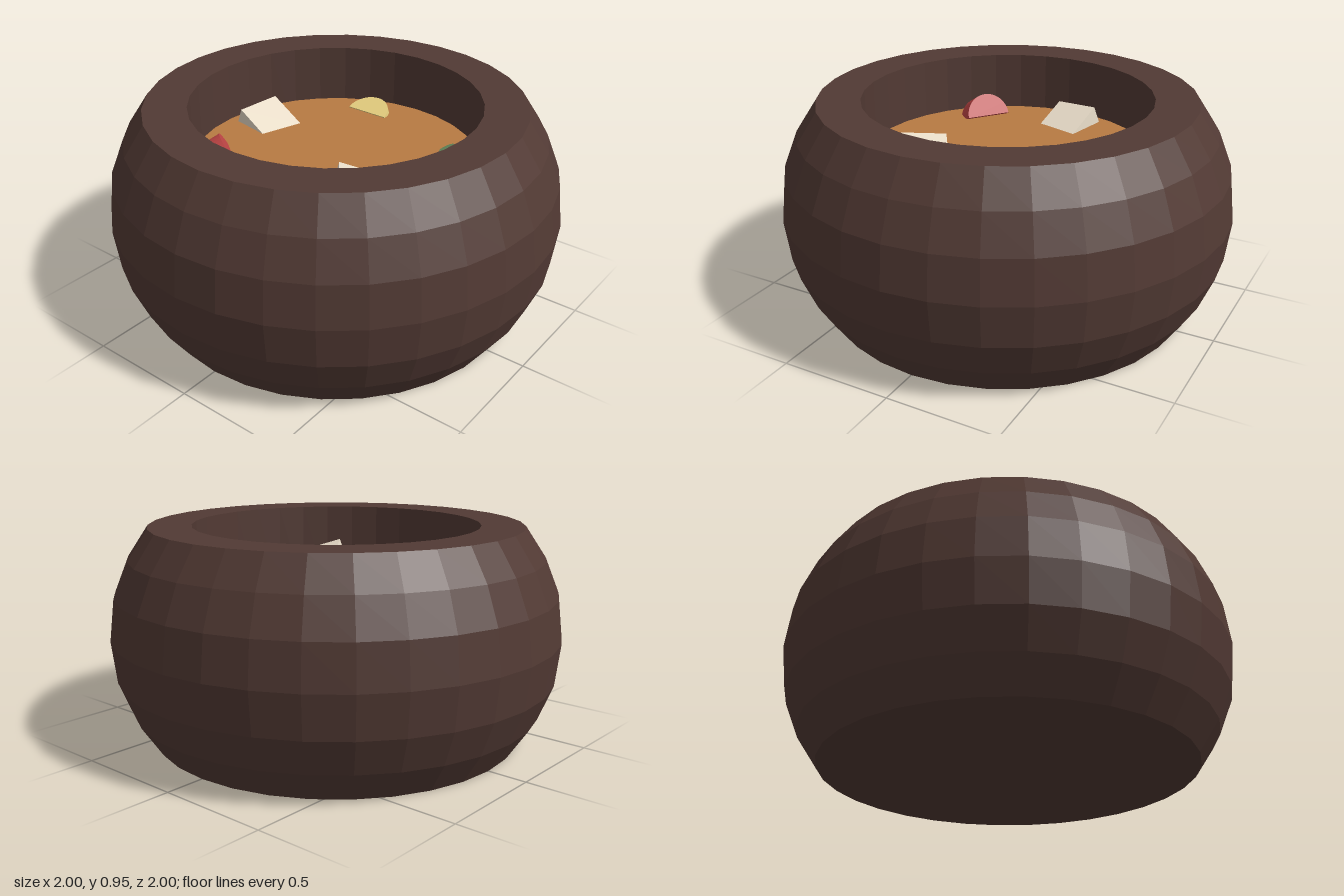
import * as THREE from 'three';

const SOUP_Y = 0.685;

function part(name, geometry, color) {
  const material = new THREE.MeshStandardMaterial({ color, flatShading: true });
  const mesh = new THREE.Mesh(geometry, material);
  mesh.name = name;
  return mesh;
}

// Turn towards `yaw`, then tilt and roll in that direction
function place(mesh, [x, y, z], yaw, tilt, roll = 0) {
  mesh.position.set(x, y, z);
  mesh.rotation.set(roll, yaw, tilt, 'YZX');
  return mesh;
}

// Cube hung from the middle of its raised top edge, sloping down along +x
function cube(name, color, position, yaw, slope, roll) {
  const s = 0.205;
  const geometry = new THREE.BoxGeometry(s, s, s).translate(s / 2, -s / 2, 0);
  return place(part(name, geometry, color), position, yaw, -slope, roll);
}

// Half-round slice resting on its straight edge, the arc raised along +x
function slice(name, color, position, yaw, tilt) {
  const shape = new THREE.Shape();
  shape.absarc(0, 0, 0.105, -Math.PI / 2, Math.PI / 2, false);
  shape.closePath();
  const geometry = new THREE.ExtrudeGeometry(shape, { depth: 0.1, bevelEnabled: false, curveSegments: 12 });
  geometry.rotateX(Math.PI / 2);
  return place(part(name, geometry, color), position, yaw, tilt);
}

export function createModel() {
  const model = new THREE.Group();
  model.name = 'soupBowl';

  // Bowl: flat base, bulging wall, flat rim, straight inner wall
  const profile = [
    [0, 0], [0.825, 0], [0.915, 0.135], [0.978, 0.29], [1, 0.475],
    [0.978, 0.66], [0.915, 0.815], [0.825, 0.95], [0.635, 0.95], [0.635, 0.5], [0, 0.5],
  ].map(([r, y]) => new THREE.Vector2(r, y));
  model.add(part('bowl', new THREE.LatheGeometry(profile, 32), 0x523a34));

  // Soup surface
  const soup = part('soup', new THREE.CircleGeometry(0.635, 32).rotateX(-Math.PI / 2), 0xb87a42);
  soup.position.y = SOUP_Y;
  model.add(soup);

  // Floating chunks
  model.add(
    cube('frontCube', 0xe8dcc8, [0.24, 0.8, 0.29], 0.607, 0.3, -0.08),
    cube('sideCube', 0xe8dcc8, [-0.536, 0.762, -0.088], -0.157, 0.43, 0.06),
    slice('yellowSlice', 0xe8d080, [-0.163, 0.69, -0.45], Math.PI / 2, 0.38),
    slice('greenSlice', 0x7fa870, [0.391, 0.7, -0.209], 0.427, 0.72),
    slice('redSlice', 0xc04545, [-0.351, 0.7, 0.295], -2.214, 1.08),
  );
  return model;
}
